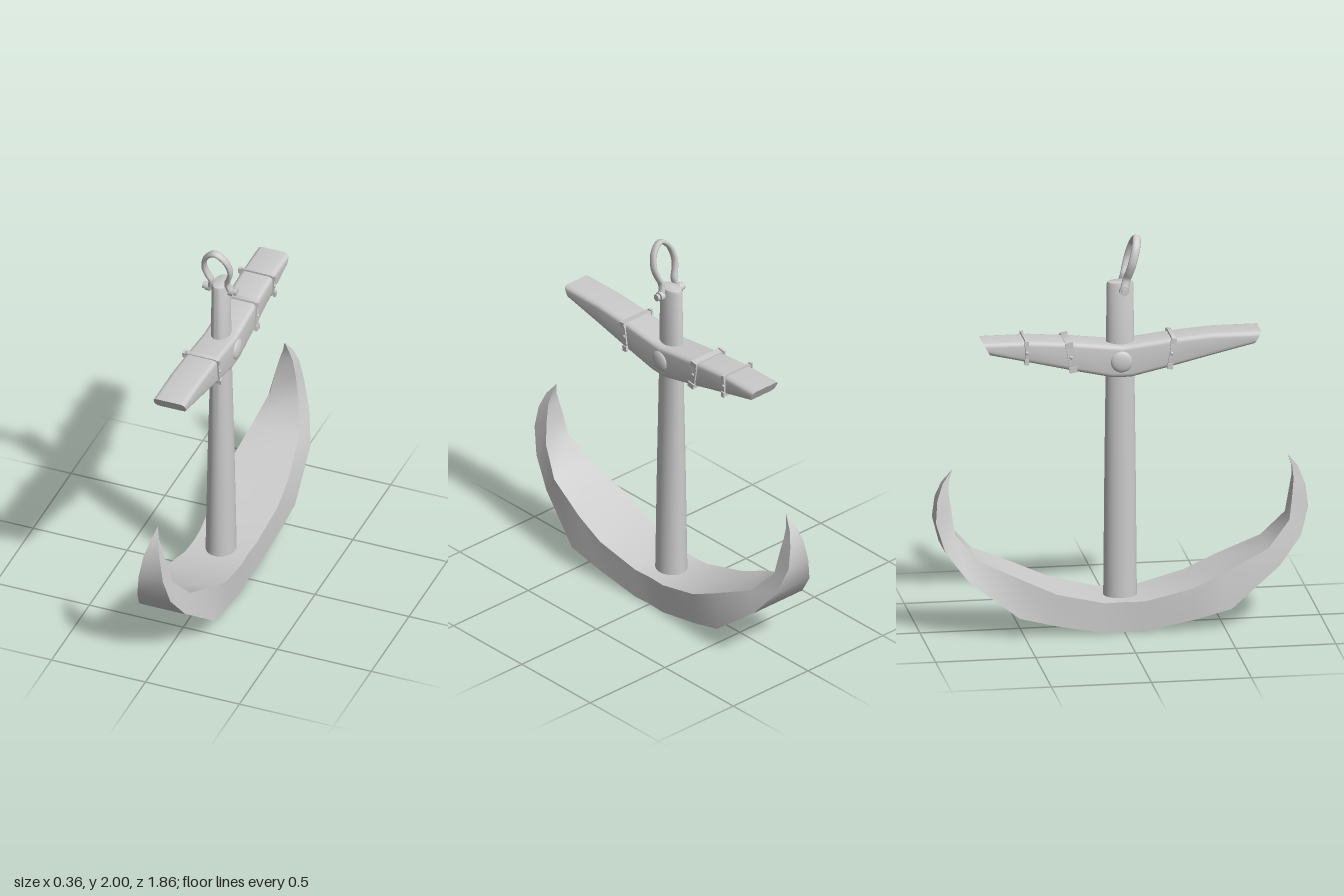
import * as THREE from 'three';
import { toCreasedNormals } from 'three/addons/utils/BufferGeometryUtils.js';

const material = new THREE.MeshStandardMaterial({ color: 0xcccccc, side: THREE.DoubleSide });

function add(parent, name, geometry, x = 0, y = 0, z = 0) {
  const mesh = new THREE.Mesh(geometry, material);
  mesh.name = name;
  mesh.position.set(x, y, z);
  parent.add(mesh);
  return mesh;
}

// Skin a list of equal-length rings (counter-clockwise seen from the far end) and cap both ends.
function loft(rings, crease = 0.6) {
  const n = rings[0].length, index = [];
  for (let r = 0; r < rings.length - 1; r++) {
    for (let i = 0; i < n; i++) {
      const a = r * n + i, b = r * n + (i + 1) % n;
      index.push(a, b, b + n, a, b + n, a + n);
    }
  }
  const last = (rings.length - 1) * n;
  for (let i = 1; i < n - 1; i++) {
    index.push(0, i + 1, i, last, last + i, last + i + 1);
  }
  const geometry = new THREE.BufferGeometry();
  geometry.setAttribute('position', new THREE.Float32BufferAttribute(rings.flat(2), 3));
  geometry.setIndex(index);
  return toCreasedNormals(geometry, crease);
}

// Rounded rectangle outline as [x, y] pairs, counter-clockwise.
function roundedRect(w, h, r, steps = 4) {
  const points = [];
  [[1, 1], [-1, 1], [-1, -1], [1, -1]].forEach(([sx, sy], q) => {
    for (let i = 0; i <= steps; i++) {
      const t = (q + i / steps) * Math.PI / 2;
      points.push([sx * (w - r) + r * Math.cos(t), sy * (h - r) + r * Math.sin(t)]);
    }
  });
  return points;
}

// Curved arms with pointed flukes; the rear fluke flares wider than the front one.
function armGeometry() {
  // outer z, y, front half width, rear half width, inner z, y, half width
  const sections = [
    [0.10, 0.000, 0.150, 0.150, 0.10, 0.155, 0.150],
    [0.35, 0.055, 0.168, 0.168, 0.34, 0.215, 0.165],
    [0.53, 0.105, 0.180, 0.180, 0.50, 0.290, 0.160],
    [0.78, 0.300, 0.122, 0.163, 0.72, 0.390, 0.125],
    [0.89, 0.440, 0.088, 0.110, 0.835, 0.52, 0.075],
    [0.93, 0.580, 0.064, 0.066, 0.852, 0.64, 0.054],
    [0.92, 0.690, 0.045, 0.045, 0.862, 0.72, 0.035],
    [0.89, 0.770, 0.022, 0.022, 0.858, 0.775, 0.016],
    [0.84, 0.835, 0.001, 0.001, 0.839, 0.834, 0.001],
  ];
  const ring = (s, side) => {
    const w = side > 0 ? s[2] : s[3];
    return [[-w, s[1], side * s[0]], [w, s[1], side * s[0]],
      [s[6], s[5], side * s[4]], [-s[6], s[5], side * s[4]]];
  };
  const middle = [0, 0, 0.145, 0.145, 0, 0.155, 0.145];
  return loft([
    ...sections.map((s) => ring(s, -1)).reverse(),
    ring(middle, 1),
    ...sections.map((s) => ring(s, 1)),
  ]);
}

// Tapered oval shank with a softly rounded top.
function shankGeometry() {
  const levels = [[0.1, 0.077, 0.084], [0.8, 0.063, 0.078], [1.3, 0.049, 0.072],
    [1.755, 0.043, 0.067], [1.768, 0.039, 0.063], [1.772, 0.03, 0.055]];
  return loft(levels.map(([y, rx, rz]) => Array.from({ length: 32 }, (_, i) => {
    const t = i / 32 * Math.PI * 2;
    return [rx * Math.sin(t), y, rz * Math.cos(t)];
  })));
}

// Upswept stock; each station gives z at the top, z at the bottom, top y, bottom y.
function stockGeometry() {
  const half = [[0.05, 0.05, 1.460, 1.295], [0.23, 0.23, 1.481, 1.335],
    [0.45, 0.45, 1.499, 1.388], [0.695, 0.66, 1.499, 1.437]];
  const stations = [
    ...half.map(([a, b, c, d]) => [-a, -b, c, d]).reverse(),
    [0, 0, 1.455, 1.293],
    ...half,
  ];
  return loft(stations.map(([zt, zb, top, bottom]) => {
    const h = (top - bottom) / 2;
    return roundedRect(0.084, h, 0.022).map(([x, y]) => {
      const k = (y + h) / (2 * h);
      return [x, bottom + h + y, zb + (zt - zb) * k];
    });
  }));
}

// Strap clamped round the stock, with bolts through its ears.
function band(name, z, y, halfHeight, depth, tilt) {
  const group = new THREE.Group();
  group.name = name;
  const toPath = (p) => p.map(([a, b]) => new THREE.Vector2(a, b));
  const shape = new THREE.Shape(toPath(roundedRect(0.092, halfHeight + 0.007, 0.022)));
  shape.holes.push(new THREE.Path(toPath(roundedRect(0.082, halfHeight - 0.004, 0.018))));
  const hoop = new THREE.ExtrudeGeometry(shape, { depth, bevelEnabled: false });
  hoop.translate(0, 0, -depth / 2);
  add(group, 'strap', toCreasedNormals(hoop, 0.6));
  for (const side of [-1, 1]) {
    for (const end of [-1, 1]) {
      add(group, 'strapEar', new THREE.BoxGeometry(0.012, 0.028, depth + 0.006),
        side * 0.093, end * (halfHeight - 0.008), 0);
    }
    const bolt = add(group, 'strapBolt', new THREE.SphereGeometry(0.009, 12, 8), side * 0.092, 0, 0);
    bolt.scale.x = 0.7;
  }
  group.position.set(0, y, z);
  group.rotation.x = tilt;
  return group;
}

// Bow shackle leaning forward on its pin.
function shackle() {
  const group = new THREE.Group();
  group.name = 'shackle';
  const side = [[0.058, -0.01], [0.042, 0.055], [0.057, 0.095], [0.069, 0.15], [0.05, 0.225]];
  const points = [...side, [0, 0.266], ...side.map(([x, y]) => [-x, y]).reverse()]
    .map(([x, y]) => new THREE.Vector3(x, y, 0));
  const bow = new THREE.TubeGeometry(new THREE.CatmullRomCurve3(points), 48, 0.0125, 10);
  add(group, 'bow', bow).scale.z = 1.7;
  const rod = (name, radius, length, x) => {
    const g = new THREE.CylinderGeometry(radius, radius, length, 20);
    g.rotateZ(Math.PI / 2);
    add(group, name, g, x);
  };
  rod('pin', 0.011, 0.17, 0);
  for (const s of [-1, 1]) {
    rod('eye', 0.024, 0.024, s * 0.06);
    rod('pinHead', 0.018, 0.014, s * 0.083);
  }
  group.position.set(0, 1.735, 0.012);
  group.rotation.x = 0.27;
  return group;
}

export function createModel() {
  const anchor = new THREE.Group();
  anchor.name = 'anchor';
  add(anchor, 'arms', armGeometry());
  add(anchor, 'shank', shankGeometry());
  add(anchor, 'stock', stockGeometry());

  // Domed bolt heads where the stock crosses the shank
  for (const s of [-1, 1]) {
    const dome = add(anchor, 'stockBolt', new THREE.SphereGeometry(0.054, 32, 16), s * 0.082, 1.377, -0.005);
    dome.scale.x = 0.35;
  }

  anchor.add(
    band('frontBand', 0.245, 1.411, 0.073, 0.022, 0.14),
    band('rearInnerBand', -0.258, 1.414, 0.072, 0.034, -0.16),
    band('rearOuterBand', -0.48, 1.447, 0.055, 0.014, 0),
    shackle(),
  );
  return anchor;
}
